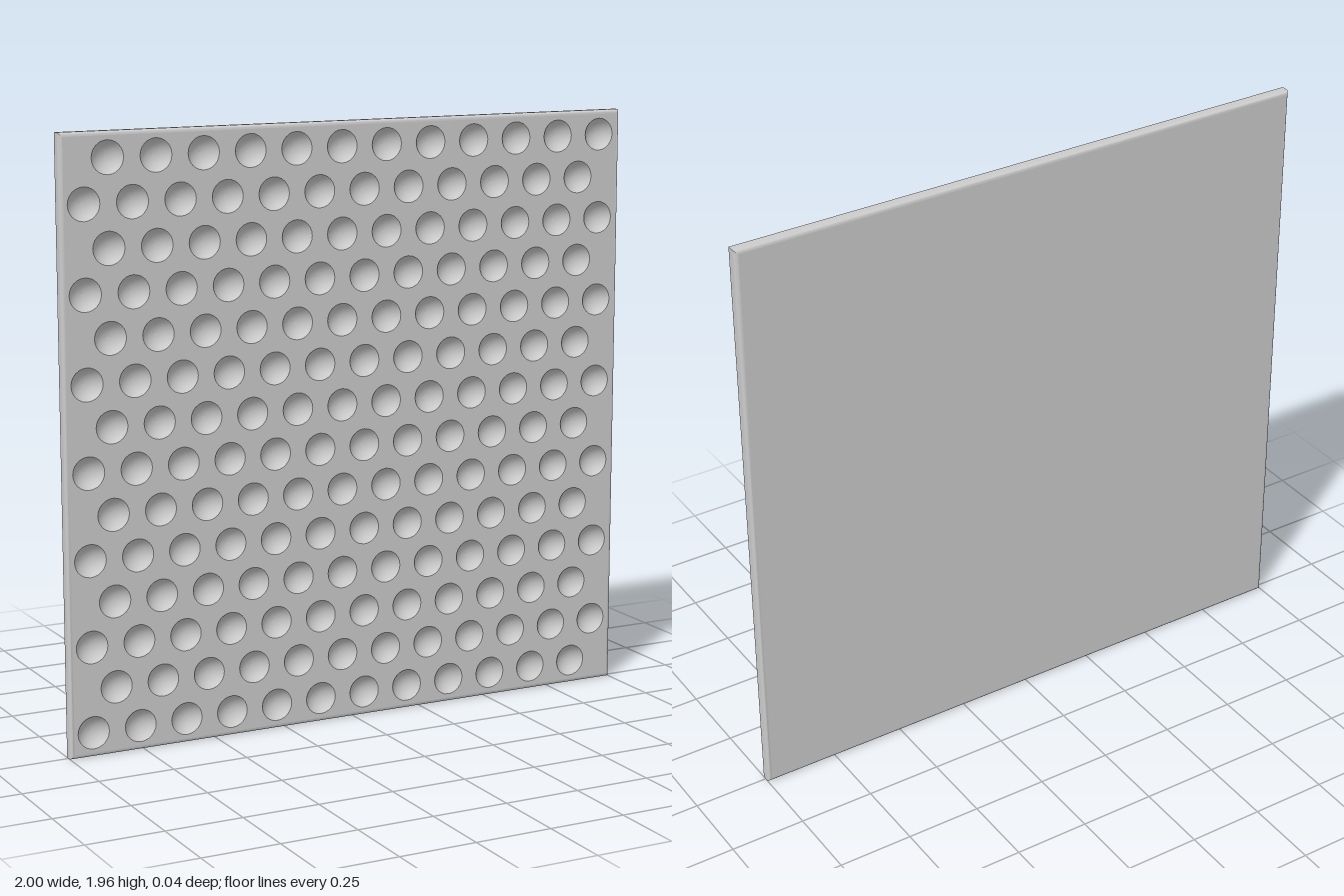
import * as THREE from 'three';
import { toCreasedNormals } from 'three/addons/utils/BufferGeometryUtils.js';

const W = 2, H = 1.96, T = 0.044, BEVEL = 0.013;
const ROWS = 14, COLS = 12, PITCH = 0.16;
const R = 0.053, DEPTH = 0.03, SIDES = 24;

function rectangle(inset) {
  const x = W / 2 - inset, y0 = inset, y1 = H - inset;
  return new THREE.Shape([[-x, y0], [x, y0], [x, y1], [-x, y1]].map(p => new THREE.Vector2(...p)));
}

// Staggered rows of dimple centres
function dimpleCentres() {
  const list = [];
  for (let row = 0; row < ROWS; row++) {
    for (let col = 0; col < COLS; col++) {
      list.push(new THREE.Vector2(
        -0.922 + col * PITCH + (row % 2) * PITCH / 2,
        0.079 + row * PITCH * Math.sqrt(3) / 2));
    }
  }
  return list;
}

// Rounded border: the side walls of a bevelled extrusion, without its caps
function rimGeometry() {
  const solid = new THREE.ExtrudeGeometry(rectangle(0), {
    depth: T - 2 * BEVEL, bevelEnabled: true, bevelThickness: BEVEL,
    bevelSize: BEVEL, bevelOffset: -BEVEL, bevelSegments: 4,
  });
  const { start, count } = solid.groups[1];
  const positions = solid.attributes.position.array.slice(start * 3, (start + count) * 3);
  const rim = new THREE.BufferGeometry();
  rim.setAttribute('position', new THREE.BufferAttribute(positions, 3));
  rim.translate(0, 0, BEVEL - T / 2);
  return toCreasedNormals(rim, Math.PI / 5);
}

// Shallow spherical bowl, opening towards +z
function bowlGeometry() {
  const sphere = (R * R + DEPTH * DEPTH) / (2 * DEPTH);
  const edge = Math.asin(R / sphere);
  const profile = [];
  for (let i = 0; i <= 6; i++) {
    const a = edge * (1 - i / 6);
    profile.push(new THREE.Vector2(sphere * Math.sin(a), sphere - DEPTH - sphere * Math.cos(a)));
  }
  return new THREE.LatheGeometry(profile, SIDES).rotateX(Math.PI / 2);
}

export function createModel() {
  const model = new THREE.Group();
  model.name = 'dimpledPanel';
  const material = new THREE.MeshStandardMaterial({ color: 0xcccccc });
  const add = (name, geometry, parent = model) => {
    const mesh = new THREE.Mesh(geometry, material);
    mesh.name = name;
    parent.add(mesh);
    return mesh;
  };
  const centres = dimpleCentres();

  // Front face with a round opening for each dimple
  const face = rectangle(BEVEL);
  for (const c of centres) {
    const ring = [];
    for (let i = 0; i < SIDES; i++) {
      const a = -i / SIDES * Math.PI * 2;
      ring.push(new THREE.Vector2(c.x + R * Math.cos(a), c.y + R * Math.sin(a)));
    }
    face.holes.push(new THREE.Path(ring));
  }
  add('frontFace', new THREE.ShapeGeometry(face)).position.z = T / 2;

  // Plain back face and rounded border
  const back = add('backFace', new THREE.ShapeGeometry(rectangle(BEVEL)));
  back.rotation.y = Math.PI;
  back.position.z = -T / 2;
  add('rim', rimGeometry());

  // Dimples
  const dimples = new THREE.Group();
  dimples.name = 'dimples';
  model.add(dimples);
  const bowl = bowlGeometry();
  for (const c of centres) add('dimple', bowl, dimples).position.set(c.x, c.y, T / 2);

  return model;
}
